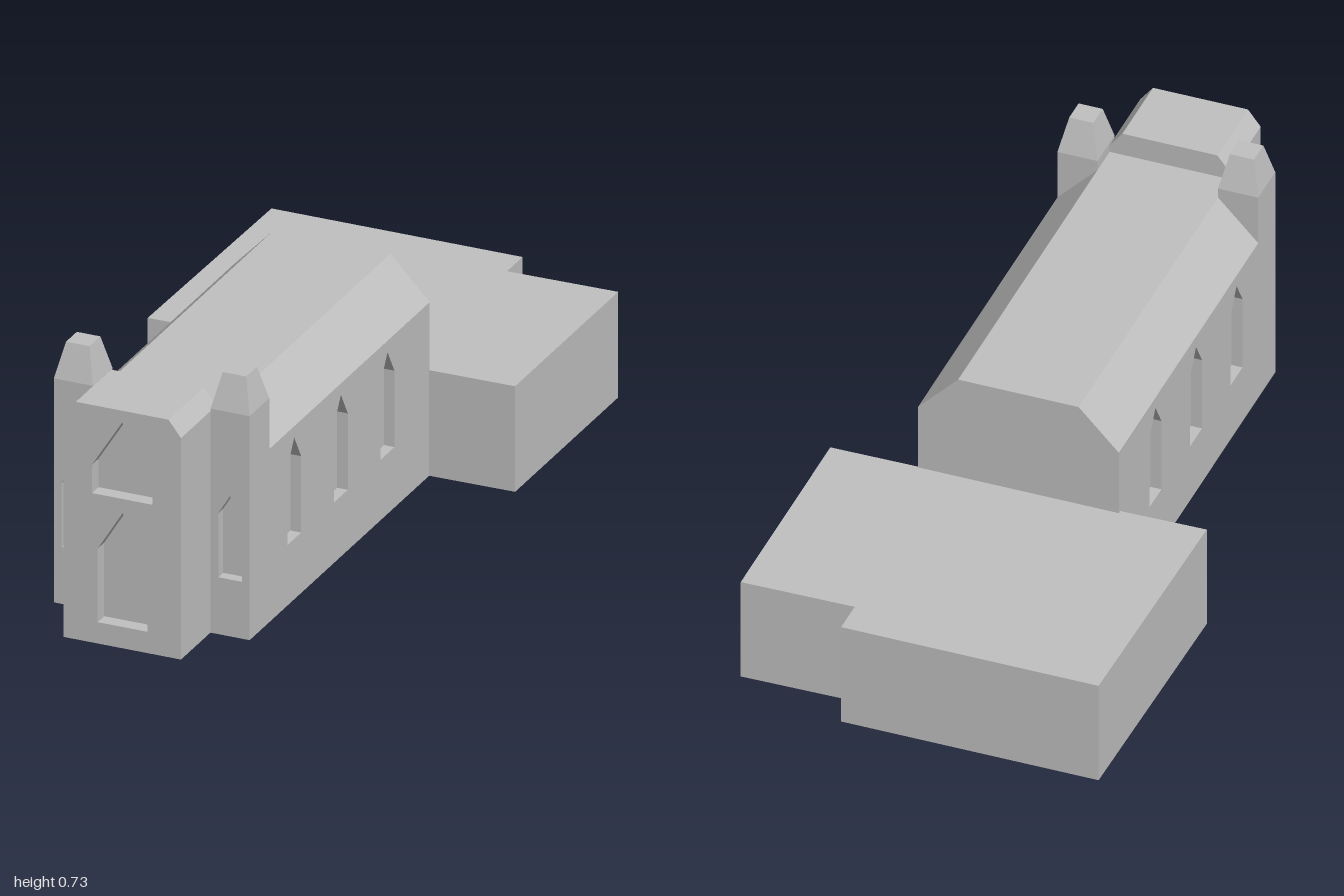
import * as THREE from 'three';

const stone = new THREE.MeshStandardMaterial({ color: 0xc0c0c0 });
stone.name = 'grey stone';

const poly = (points, Type = THREE.Shape) => new Type(points.map(([x, y]) => new THREE.Vector2(x, y)));

// Pointed opening with upright sides
const lancet = (x0, x1, sill, spring, apex) => poly(
  [[x0, sill], [x0, spring], [(x0 + x1) / 2, apex], [x1, spring], [x1, sill]], THREE.Path);

const rect = (x0, x1, y0, y1) => [[x0, y0], [x1, y0], [x1, y1], [x0, y1]];

// Prism along +z from an outline, with optional openings
function prism(outline, depth, holes = []) {
  const shape = poly(outline);
  shape.holes.push(...holes);
  return new THREE.ExtrudeGeometry(shape, { depth, bevelEnabled: false });
}

export function createModel() {
  const model = new THREE.Group();
  model.name = 'church';
  const add = (parent, name, geometry, x = 0, y = 0, z = 0) => {
    const mesh = new THREE.Mesh(geometry, stone);
    mesh.name = name;
    mesh.position.set(x, y, z);
    parent.add(mesh);
    return mesh;
  };

  // Rear hall: low flat block with a stepped corner
  const hall = prism([[-0.505, -1], [0.2, -1], [0.2, -0.905], [0.51, -0.91],
    [0.51, -0.28], [-0.28, -0.27], [-0.515, -0.265]], 0.297);
  hall.rotateX(Math.PI / 2);
  add(model, 'rearHall', hall, 0, 0.297, 0);

  // Nave: core with overhanging roof, and side walls filling the recess below it
  const nave = new THREE.Group();
  nave.name = 'nave';
  model.add(nave);
  const wall = 0.03;
  add(nave, 'naveCoreAndRoof', prism([[-0.25, 0], [0.24, 0], [0.24, 0.487], [0.27, 0.487],
    [0.16, 0.602], [-0.17, 0.602], [-0.28, 0.487], [-0.25, 0.487]], 0.98), 0, 0, -0.28);
  for (const [name, x] of [['naveLeftWall', 0.27], ['naveRightWall', -0.25]]) {
    const windows = [0.505, 0.22, -0.065].map(z => lancet(z, z + 0.085, 0.17, 0.385, 0.455));
    const side = prism(rect(-0.28, 0.7, 0, 0.487), wall, windows);
    side.rotateY(-Math.PI / 2);
    add(nave, name, side, x);
  }
  add(nave, 'naveFrontBay', prism(rect(-0.17, 0.16, 0, 0.602), 0.085), 0, 0, 0.7);

  // Front porch: chamfered block with recessed door and upper window
  const porch = new THREE.Group();
  porch.name = 'porch';
  model.add(porch);
  const porchOutline = [[-0.17, 0], [0.16, 0], [0.16, 0.623], [0.125, 0.668], [-0.135, 0.668], [-0.17, 0.623]];
  add(porch, 'porchCore', prism(porchOutline, 0.175), 0, 0, 0.785);
  add(porch, 'porchFrontWall', prism(porchOutline, 0.04, [
    lancet(-0.074, 0.066, 0.06, 0.267, 0.38),
    lancet(-0.09, 0.08, 0.42, 0.5, 0.635),
  ]), 0, 0, 0.96);

  // Towers: window in front, tapered cap on top
  for (const [name, x] of [['leftTower', 0.215], ['rightTower', -0.225]]) {
    const tower = new THREE.Group();
    tower.name = name;
    tower.position.set(x, 0, 0.7);
    model.add(tower);
    const outline = rect(-0.055, 0.055, 0, 0.63);
    add(tower, 'towerCore', prism(outline, 0.09));
    add(tower, 'towerFrontWall', prism(outline, 0.03,
      [lancet(-0.033, 0.033, 0.16, 0.34, 0.395)]), 0, 0, 0.09);

    const cap = new THREE.BoxGeometry(0.11, 0.096, 0.12);
    const p = cap.attributes.position;
    for (let i = 0; i < p.count; i++) {
      if (p.getY(i) > 0) p.setXYZ(i, p.getX(i) * 0.6, p.getY(i), p.getZ(i) * 0.55);
    }
    const flat = cap.toNonIndexed();
    flat.computeVertexNormals();
    add(tower, 'towerCap', flat, 0, 0.678, 0.06);
  }

  return model;
}
